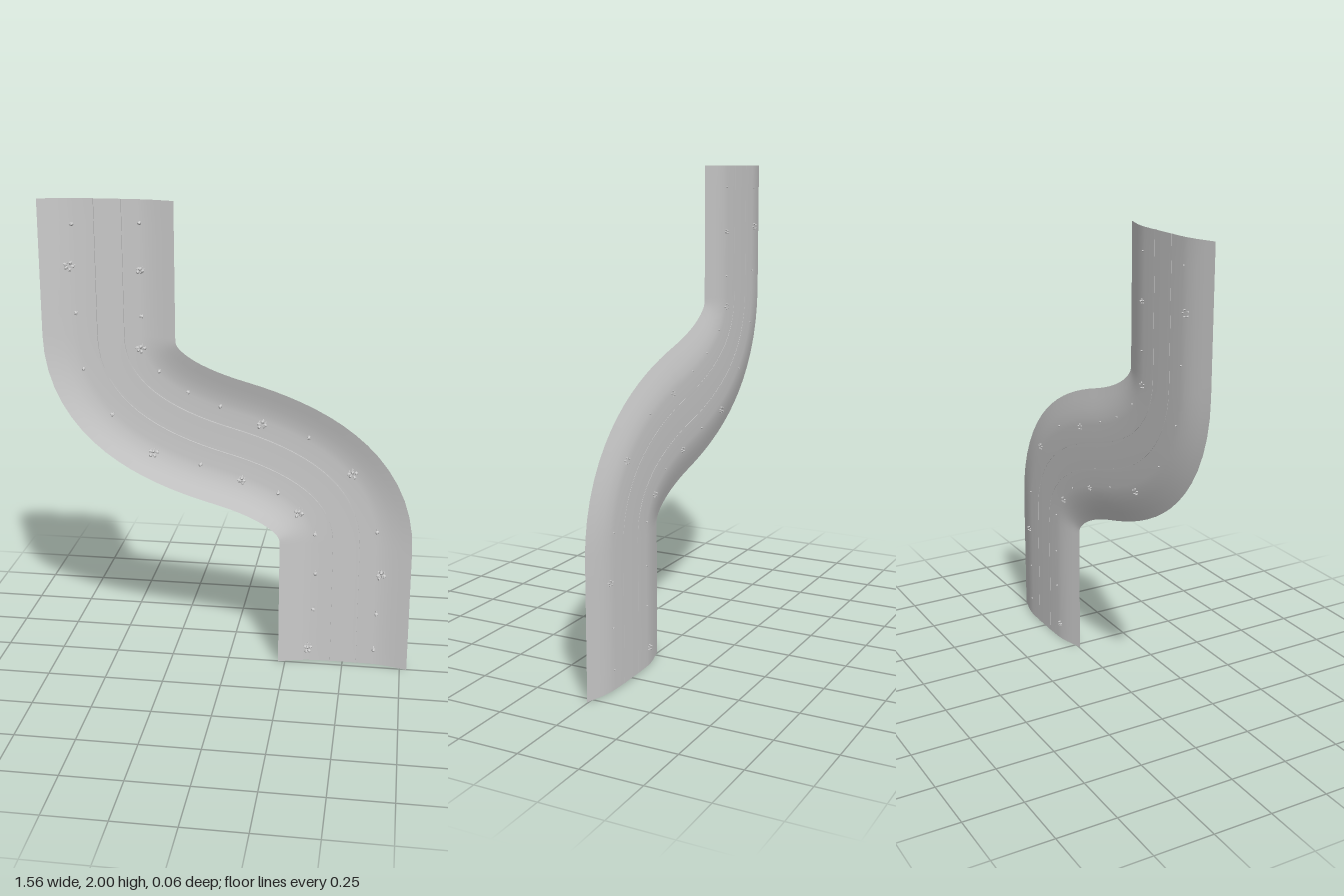
import * as THREE from 'three';

const grey = new THREE.MeshStandardMaterial({ color: 0xcccccc, side: THREE.DoubleSide });
const facetted = new THREE.MeshStandardMaterial({ color: 0xcccccc, side: THREE.DoubleSide, flatShading: true });

// Centre line: straight, S-bend, straight (half is drawn, the rest is its point mirror about 0, 1)
function centreLine() {
  const v = (x, y) => new THREE.Vector3(x, y, 0);
  const bend = new THREE.CubicBezierCurve3(v(-0.5, 1.44), v(-0.5, 1.2), v(-0.28, 1.075), v(0, 1));
  const half = [];
  for (let i = 0; i < 6; i++) half.push({ p: v(-0.5, 2 - i * 0.56 / 6), t: v(0, -1) });
  for (let i = 0; i <= 16; i++) half.push({ p: bend.getPoint(i / 16), t: bend.getTangent(i / 16) });
  const mirrored = half.slice(0, -1).reverse().map(({ p, t }) => ({ p: v(-p.x, 2 - p.y), t }));
  return [...half, ...mirrored];
}

// Sweeps a cross-section of [offset, z] pairs along the centre line
function sweep(line, section, material, name) {
  const pos = [], index = [], n = section.length;
  line.forEach(({ p, t }, i) => {
    section.forEach(([o, z], j) => {
      pos.push(p.x - t.y * o, p.y + t.x * o, z);
      if (i < line.length - 1 && j < n - 1) {
        const a = i * n + j, b = a + n;
        index.push(a, b, b + 1, a, b + 1, a + 1);
      }
    });
  });
  const g = new THREE.BufferGeometry();
  g.setAttribute('position', new THREE.Float32BufferAttribute(pos, 3));
  g.setIndex(index);
  g.computeVertexNormals();
  const mesh = new THREE.Mesh(g, material);
  mesh.name = name;
  return mesh;
}

// Ground height across the section
const bank = [[0, -0.033], [0.06, -0.033], [0.13, -0.031], [0.16, -0.028], [0.2, -0.02], [0.24, -0.008], [0.28, 0.004]];

const stemGeo = new THREE.CylinderGeometry(0.002, 0.003, 0.03, 5).rotateX(Math.PI / 2);
const capGeo = new THREE.IcosahedronGeometry(1, 0);

// One sprig: a thin stem with a small facetted crown
function sprig(x, y, top, r, spin) {
  const g = new THREE.Group();
  const stem = new THREE.Mesh(stemGeo, facetted);
  stem.name = 'stem';
  stem.position.z = -0.022;
  const crown = new THREE.Mesh(capGeo, facetted);
  crown.name = 'crown';
  crown.scale.set(r, r * 0.8, 0.012);
  crown.rotation.z = spin;
  crown.position.z = top - 0.012;
  g.add(stem, crown);
  g.position.set(x, y, 0);
  return g;
}

export function createModel() {
  const model = new THREE.Group();
  const line = centreLine();

  // Dished ground strip
  const left = bank.slice(1).reverse().map(([o, z]) => [-o, z]);
  model.add(sweep(line, [...left, ...bank], grey, 'ground'));

  // Two thin kerbs along the middle lane
  for (const [side, name] of [[-1, 'rightKerb'], [1, 'leftKerb']]) {
    const a = side * 0.057 - 0.0025, b = a + 0.005;
    model.add(sweep(line, [[a, -0.026], [b, -0.026], [b, -0.034], [a, -0.034], [a, -0.026]], facetted, name));
  }

  // Single plants
  const small = [[-0.64, 1.9], [-0.36, 1.91], [-0.635, 1.535], [-0.36, 1.53], [-0.61, 1.3], [-0.29, 1.3],
    [-0.17, 1.215], [-0.035, 1.16], [0.335, 1.04], [-0.495, 1.105], [-0.12, 0.9], [0.21, 0.79], [0.37, 0.61],
    [0.63, 0.635], [0.375, 0.43], [0.37, 0.26], [0.64, 0.255], [0.635, 0.085]];
  small.forEach(([x, y], i) => {
    const plant = sprig(x, y, 0.012, 0.01, i);
    plant.name = 'smallPlant';
    model.add(plant);
  });

  // Clumps of plants: x, y, spread
  const clumps = [[-0.655, 1.73, 0.017], [-0.36, 1.72, 0.01], [-0.365, 1.395, 0.014], [0.14, 1.09, 0.014],
    [-0.32, 0.945, 0.014], [0.055, 0.84, 0.011], [0.3, 0.705, 0.014], [0.52, 0.89, 0.015],
    [0.655, 0.44, 0.013], [0.35, 0.075, 0.012]];
  clumps.forEach(([x, y, s], i) => {
    const clump = new THREE.Group();
    clump.name = 'plantClump';
    for (let k = 0; k < 5; k++) {
      const a = i * 1.3 + k * Math.PI * 0.4;
      clump.add(sprig(x + Math.cos(a) * s, y + Math.sin(a) * s * 0.8, k % 2 ? 0.01 : 0.026, 0.009, a));
    }
    model.add(clump);
  });

  return model;
}
